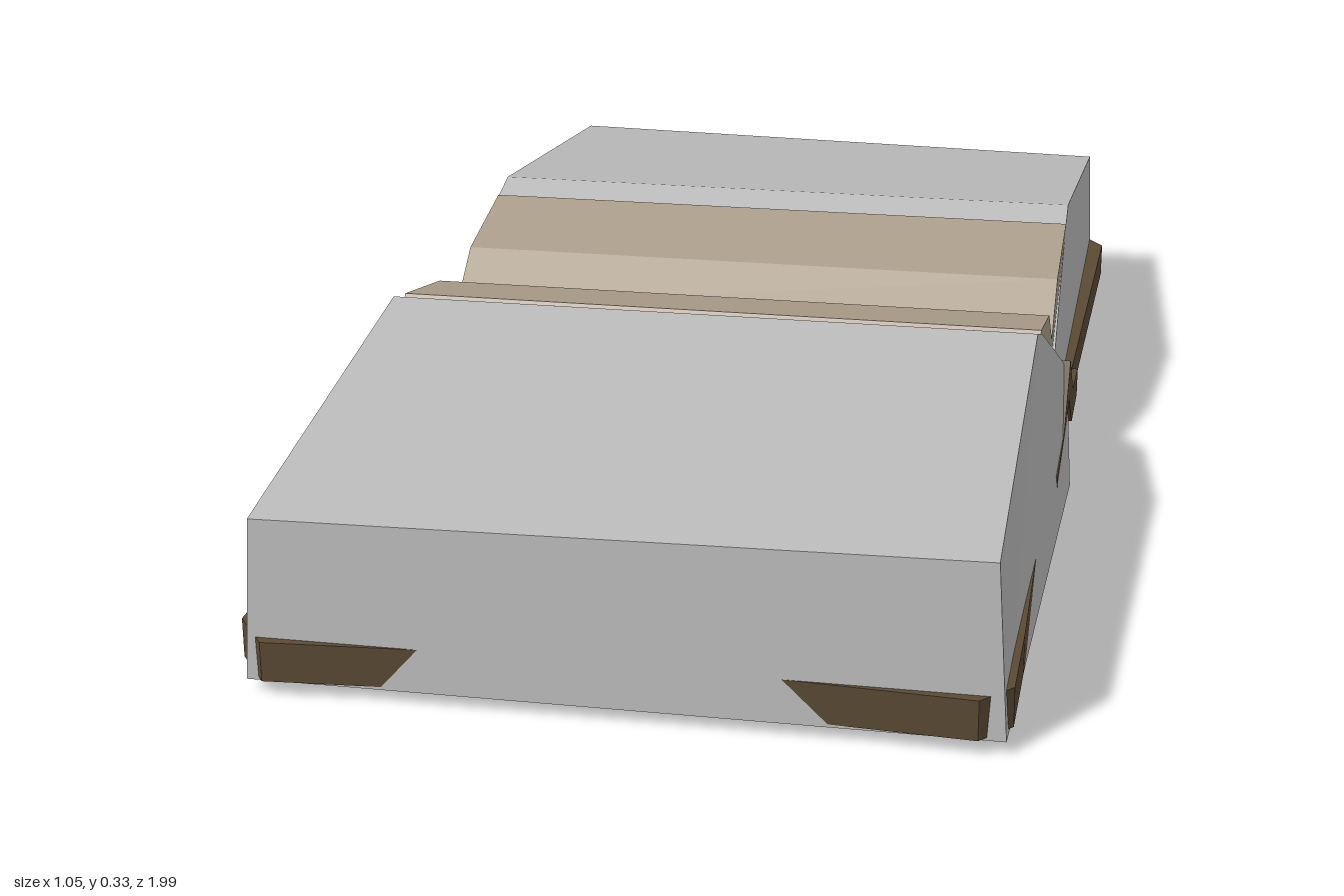
import * as THREE from 'three';

const mat = (name, color) => {
  const m = new THREE.MeshStandardMaterial({ color, flatShading: true });
  m.name = name;
  return m;
};

const shapeOf = (pts) => new THREE.Shape(pts.map(([a, b]) => new THREE.Vector2(a, b)));

// Moves every vertex by a rule, then refreshes the normals
function reshape(geo, rule) {
  const p = geo.attributes.position;
  const v = new THREE.Vector3();
  for (let i = 0; i < p.count; i++) {
    v.fromBufferAttribute(p, i);
    rule(v);
    p.setXYZ(i, v.x, v.y, v.z);
  }
  geo.computeVertexNormals();
  return geo;
}

// Prism across x from a side profile of [z, y] points
function sideProfile(pts, halfWidth) {
  const geo = new THREE.ExtrudeGeometry(shapeOf(pts), { depth: 2 * halfWidth, bevelEnabled: false });
  return geo.translate(0, 0, -halfWidth).rotateY(-Math.PI / 2);
}

// Plate from a plan outline of [x, z] points
function plate(pts, bottom, top) {
  const geo = new THREE.ExtrudeGeometry(shapeOf(pts), { depth: top - bottom, bevelEnabled: false });
  return geo.rotateX(Math.PI / 2).translate(0, top, 0);
}

export function createModel() {
  const paper = mat('grey paper', 0xbababa);
  const page = mat('tan page', 0xab9d8a);
  const leather = mat('brown cover', 0x5a4934);

  const group = new THREE.Group();
  group.name = 'openBook';
  const add = (parent, name, geo, material) => {
    const mesh = new THREE.Mesh(geo, material);
    mesh.name = name;
    parent.add(mesh);
  };

  function half(name) {
    const g = new THREE.Group();
    g.name = name;

    // Block of pages, splayed towards the bottom and wider near the spine on one side
    const block = sideProfile([
      [0, 0.11], [0.085, 0], [0.985, 0.018], [0.97, 0.256], [0.33, 0.333],
      [0.27, 0.312], [0.1, 0.225], [0, 0.17],
    ], 0.5);
    add(g, 'pageBlock', reshape(block, (v) => {
      const right = v.x > 0;
      const foot = right ? 0.528 - 0.022 * v.z : 0.495;
      const t = v.y / 0.333;
      v.x = (right ? 1 : -1) * (foot + (0.483 - foot) * t);
      if (right) return;
      if (v.y < 0.05 && v.z < 0.2) { v.z = 0.15; v.y = 0.008; }
      if (v.y > 0.2 && v.z > 0.9) v.y -= 0.015;
    }), paper);

    // Curled inner page with visible ends
    add(g, 'curledPage', sideProfile([
      [0, 0.165], [0.1, 0.223], [0.275, 0.312], [0.27, 0.318], [0.09, 0.28], [0, 0.21],
    ], 0.484), page);

    // Cover board showing at the corners and along one side
    add(g, 'coverBoard', plate([
      [-0.505, 0.2], [0.5, 0.2], [0.511, 0.8], [0.511, 0.95], [0.47, 0.996],
      [0.18, 0.979], [-0.23, 0.979], [-0.47, 0.996], [-0.518, 0.93],
    ], 0.022, 0.078), leather);

    // Cover lining exposed on the underside
    const lining = plate([[-0.5, 0.13], [-0.33, 0.15], [-0.49, 0.85]], 0, 0.006);
    add(g, 'coverLining', reshape(lining, (v) => { v.y += 0.02 * v.z - 0.001; }), leather);
    return g;
  }

  const front = half('frontHalf');
  const back = half('backHalf');
  back.rotation.y = Math.PI;
  group.add(front, back);

  // Folded spine joining both boards
  add(group, 'spine', sideProfile([
    [-0.24, 0.03], [-0.11, 0.032], [0, 0.112], [0.11, 0.032], [0.24, 0.03],
    [0.24, 0.076], [0.11, 0.088], [0, 0.176], [-0.11, 0.088], [-0.24, 0.076],
  ], 0.515), leather);

  return group;
}
